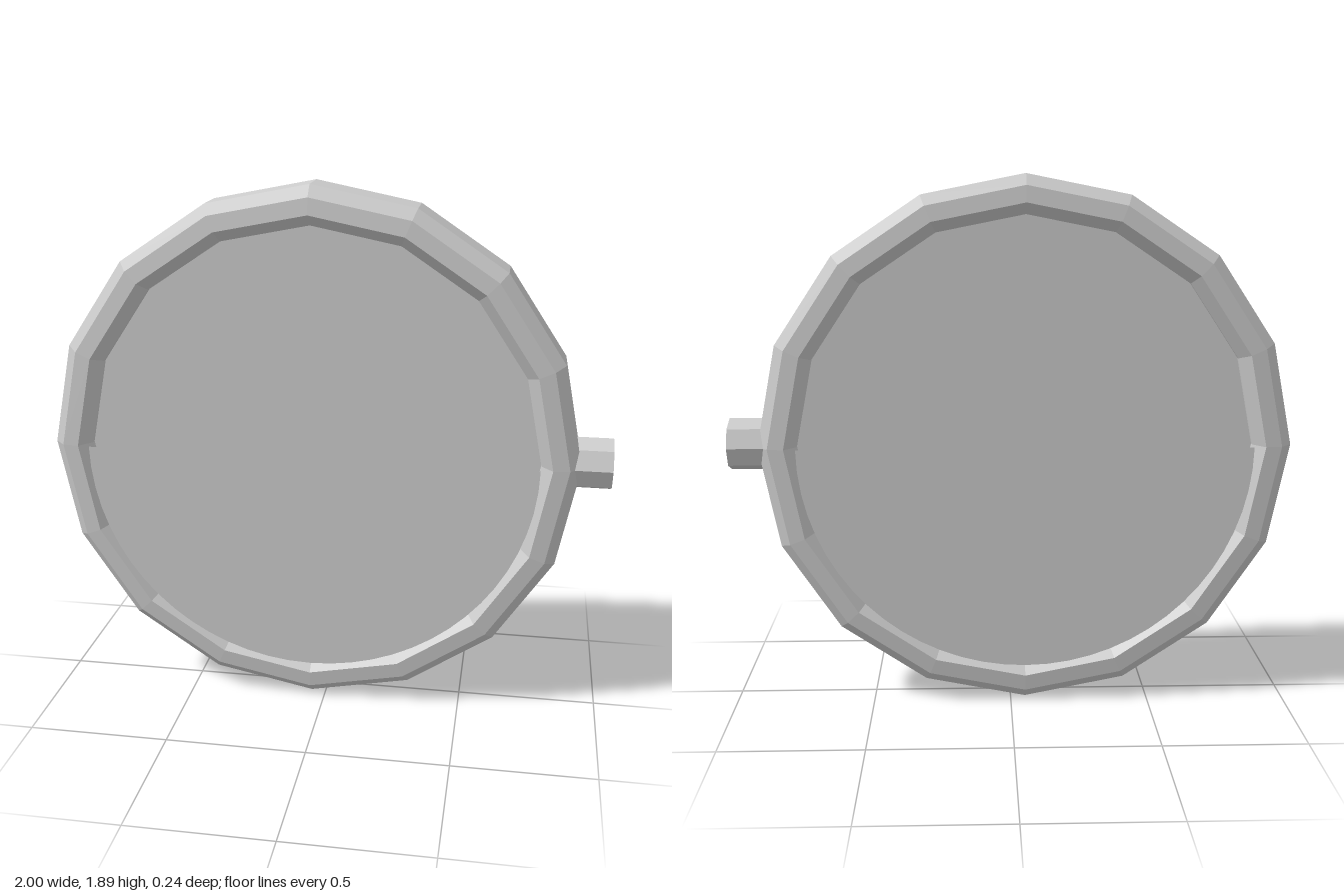
import * as THREE from 'three';

const CX = -0.053, CY = 0.947;

// give every face its own normal for a low-poly look
function faceted(geometry) {
  const flat = geometry.toNonIndexed();
  flat.computeVertexNormals();
  return flat;
}

export function createModel() {
  const model = new THREE.Group();
  const grey = new THREE.MeshStandardMaterial({ color: 0xcccccc, side: THREE.DoubleSide });
  grey.name = 'light grey';

  function add(name, geometry, x, y, z = 0) {
    const mesh = new THREE.Mesh(geometry, grey);
    mesh.name = name;
    mesh.position.set(x, y, z);
    model.add(mesh);
    return mesh;
  }

  // sixteen-sided bevelled rim with an eight-cornered section
  const section = [
    [0.947, -0.068], [0.947, 0.068], [0.908, 0.109], [0.85, 0.116],
    [0.81, 0.068], [0.81, -0.068], [0.85, -0.116], [0.908, -0.109], [0.947, -0.068],
  ].map(([r, h]) => new THREE.Vector2(r, h));
  add('rim', faceted(new THREE.LatheGeometry(section, 16).rotateX(Math.PI / 2)), CX, CY);

  // round plate closing the rim
  add('facePlate', new THREE.CylinderGeometry(0.81, 0.81, 0.1, 32).rotateX(Math.PI / 2), CX, CY);

  // thin sheets floating above the plate, on the front and the back
  for (const [side, sign] of [['front', 1], ['back', -1]]) {
    const turn = sign > 0 ? 0 : Math.PI;
    const half = new THREE.CircleGeometry(0.808, 32, Math.PI, Math.PI).rotateY(turn);
    add(side + 'LowerHalfSheet', half, CX, CY, sign * 0.118);
    add(side + 'SmallDial', new THREE.CircleGeometry(0.097, 32).rotateY(turn), -0.513, 1.143, sign * 0.097);
  }

  // eight-sided knob on the side of the rim
  const knob = new THREE.CylinderGeometry(0.093, 0.093, 0.16, 8).rotateZ(-Math.PI / 2);
  add('sideKnob', faceted(knob), 0.92, CY);

  return model;
}
